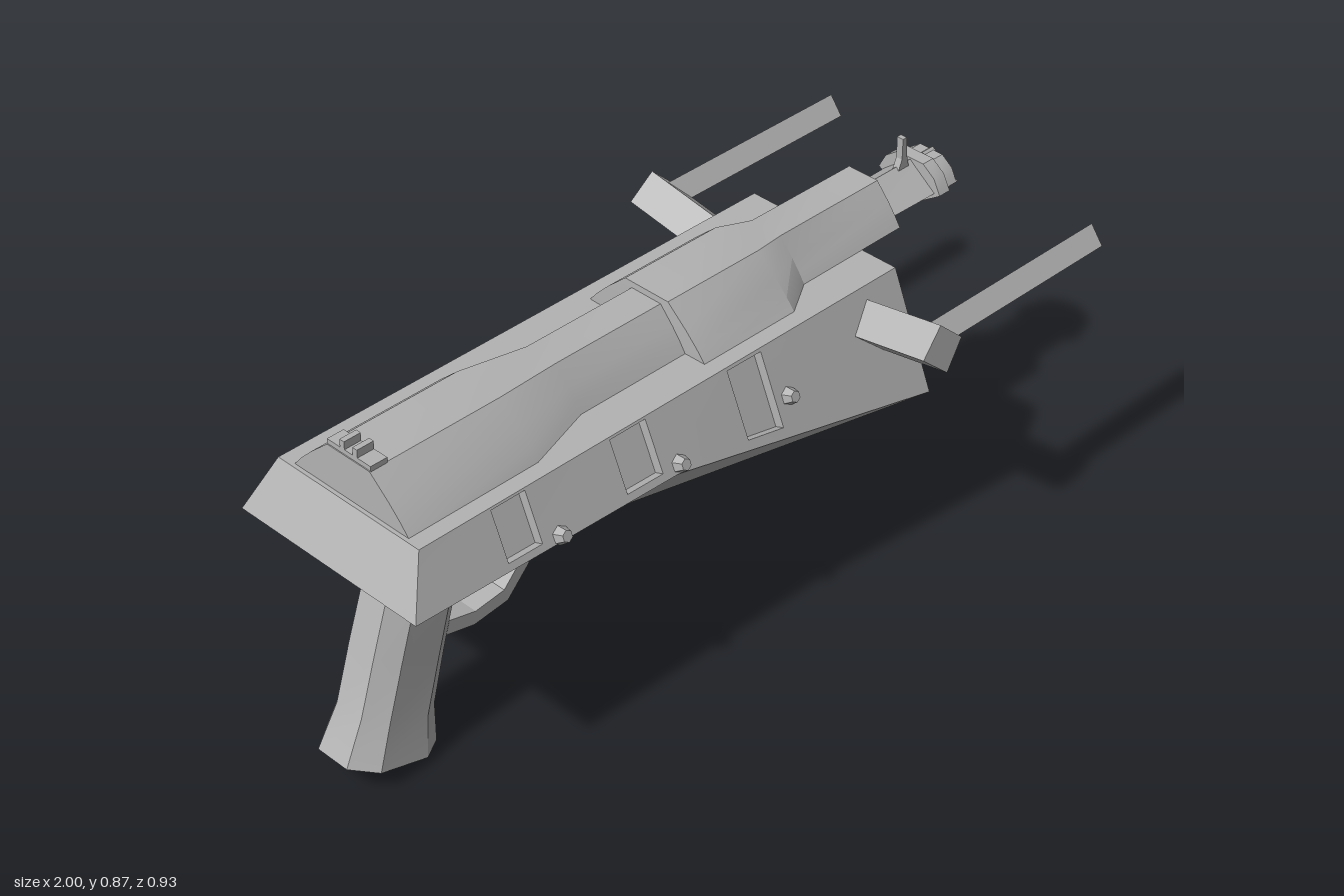
import * as THREE from 'three';
import { toCreasedNormals } from 'three/addons/utils/BufferGeometryUtils.js';

const steel = new THREE.MeshStandardMaterial({ color: 0xb3b3b3, side: THREE.DoubleSide });
steel.name = 'steel grey';

// Mesh from convex polygons (fans of [x, y, z] corners), sharp above the crease angle
function polyMesh(name, polys, crease = 0.45) {
  const pos = [];
  for (const p of polys)
    for (let i = 1; i < p.length - 1; i++) pos.push(...p[0], ...p[i], ...p[i + 1]);
  // turn the whole surface outwards if its signed volume is negative
  let volume = 0;
  const a = new THREE.Vector3(), b = new THREE.Vector3(), c = new THREE.Vector3();
  for (let i = 0; i < pos.length; i += 9) {
    a.fromArray(pos, i); b.fromArray(pos, i + 3); c.fromArray(pos, i + 6);
    volume += a.dot(b.cross(c));
  }
  if (volume < 0)
    for (let i = 0; i < pos.length; i += 9)
      for (let k = 0; k < 3; k++) [pos[i + 3 + k], pos[i + 6 + k]] = [pos[i + 6 + k], pos[i + 3 + k]];
  const g = new THREE.BufferGeometry();
  g.setAttribute('position', new THREE.Float32BufferAttribute(pos, 3));
  const mesh = new THREE.Mesh(toCreasedNormals(g, crease), steel);
  mesh.name = name;
  return mesh;
}

// Closed skin through equal-length rings
function loft(name, rings, crease) {
  const polys = [[...rings[0]].reverse(), rings[rings.length - 1]];
  for (let i = 0; i < rings.length - 1; i++) {
    const r = rings[i], s = rings[i + 1], n = r.length;
    for (let j = 0; j < n; j++) polys.push([r[j], r[(j + 1) % n], s[(j + 1) % n], s[j]]);
  }
  return polyMesh(name, polys, crease);
}

function box(name, sx, sy, sz, x, y, z) {
  const m = new THREE.Mesh(new THREE.BoxGeometry(sx, sy, sz), steel);
  m.name = name;
  m.position.set(x, y, z);
  return m;
}

// Outline in the xy plane, extruded symmetrically across z
function plate(name, pts, width) {
  const shape = new THREE.Shape(pts.map(p => new THREE.Vector2(...p)));
  const g = new THREE.ExtrudeGeometry(shape, { depth: width, bevelEnabled: false });
  g.translate(0, 0, -width / 2);
  const m = new THREE.Mesh(g, steel);
  m.name = name;
  return m;
}

// Lower edge of the side wall
function lowerEdge(x) {
  const t = Math.max(0, (x + 0.23) / 0.76);
  return x < -0.23 ? [0.6 - 0.01 * (x + 0.975) / 0.745, 0.275 + 0.01 * (x + 0.975) / 0.745]
    : [0.59 - 0.145 * t, 0.285 + 0.055 * t];
}

// Wedge-shaped body with sunken side windows
function makeBody() {
  const cols = [-0.975, -0.715, -0.62, -0.375, -0.27, -0.23, -0.02, 0.085, 0.53];
  const rows = [0, 0.04, 0.88, 1], windows = [1, 3, 6], polys = [];
  const wall = (i, v, s, sink = 0) => {
    const [y, z] = lowerEdge(cols[i]);
    const xTop = i ? cols[i] : -0.91;
    return [xTop + (cols[i] - xTop) * v, 0.73 + (y - 0.73) * v - sink * 0.37, s * (0.22 + (z - 0.22) * v - sink * 0.93)];
  };
  const last = cols.length - 1;
  const keel = s => [-0.65, 0.445, s * 0.05];
  for (const s of [1, -1]) {
    const add = (...p) => polys.push(s > 0 ? p : p.reverse());
    for (let i = 0; i < last; i++) {
      for (let j = 0; j < 3; j++) {
        const at = d => [wall(i, rows[j], s, d), wall(i, rows[j + 1], s, d), wall(i + 1, rows[j + 1], s, d), wall(i + 1, rows[j], s, d)];
        const rim = at(0);
        if (j === 1 && windows.includes(i)) {
          const floor = at(0.025);
          add(...floor);
          for (let k = 0; k < 4; k++) add(rim[k], rim[(k + 1) % 4], floor[(k + 1) % 4], floor[k]);
        } else add(...rim);
      }
      add(wall(i, 1, s), keel(s), wall(i + 1, 1, s));
    }
  }
  const T0 = s => wall(0, 0, s), T1 = s => wall(last, 0, s), B0 = s => wall(0, 1, s), B1 = s => wall(last, 1, s);
  polys.push([T0(1), T1(1), T1(-1), T0(-1)], [T0(1), T0(-1), B0(-1), B0(1)],
    [B0(1), B0(-1), keel(-1), keel(1)], [keel(1), keel(-1), B1(-1), B1(1)], [T1(1), B1(1), B1(-1), T1(-1)]);
  return polyMesh('body', polys, 0.2);
}

// Cross-section of the slide: sloped shoulders above, a V below
function slideRing(x, w, top) {
  const f = top * 0.37, h = 0.73;
  const half = [[w, h], [w * 0.87, h + f * 0.62 * 0.17], [w * 0.68, h + (top - h) * 0.56], [w * 0.37, top]];
  half[1][1] = h + (top - h) * 0.25;
  return [...half.map(([z, y]) => [x, y, z]), ...half.reverse().map(([z, y]) => [x, y, -z]), [x, 0.655, 0]];
}

export function createModel() {
  const model = new THREE.Group();
  model.add(makeBody());

  // Slide with thick rear, slim middle, collar and barrel shroud
  const slide = [[-0.9, 0.178, 0.84], [-0.54, 0.178, 0.84], [-0.36, 0.12, 0.825], [-0.045, 0.12, 0.825],
    [-0.044, 0.178, 0.84], [0.24, 0.178, 0.84], [0.335, 0.12, 0.825], [0.66, 0.118, 0.825]];
  model.add(loft('slide', slide.map(s => slideRing(...s)), 0.4));

  // Muzzle: diamond barrel with a hollow tip and an arched collar
  const diamond = (x, w, h) => [[x, 0.73, w], [x, 0.73 + h, 0], [x, 0.73, -w], [x, 0.73 - h, 0]];
  model.add(loft('barrel', [diamond(0.6, 0.075, 0.06), diamond(0.905, 0.08, 0.06),
    diamond(0.905, 0.065, 0.046), diamond(0.8, 0.02, 0.015)]));
  const arch = (x, k) => [[0.095, 0], [0.075, 0.038], [0.04, 0.064], [-0.04, 0.064], [-0.075, 0.038], [-0.095, 0], [0, -0.065]]
    .map(([z, y]) => [x, 0.73 + y * k, z * k]);
  model.add(loft('muzzleCollar', [arch(0.825, 1), arch(0.86, 1), arch(0.861, 0.86), arch(0.9, 0.86)]));

  // Sights
  model.add(plate('frontSight', [[0.765, 0.76], [0.815, 0.76], [0.803, 0.81], [0.798, 0.865], [0.785, 0.865], [0.785, 0.81]], 0.018));
  model.add(box('rearSightBase', 0.045, 0.014, 0.135, -0.875, 0.845, 0));
  for (const s of [1, -1]) model.add(box('rearSightLug', 0.045, 0.03, 0.014, -0.875, 0.857, s * 0.02));

  // Eight-sided grip, flared at the foot: back x/y, front x/y, half width
  const grip = [[-1, 0.08, -0.745, 0.005, 0.094], [-0.945, 0.185, -0.74, 0.105, 0.08],
    [-0.9, 0.33, -0.705, 0.24, 0.08], [-0.82, 0.57, -0.64, 0.46, 0.077]];
  const octagon = [[0, 0.5], [0.22, 1], [0.74, 1], [1, 0.5], [1, -0.5], [0.74, -1], [0.22, -1], [0, -0.5]];
  model.add(loft('grip', grip.map(([bx, by, fx, fy, w]) =>
    octagon.map(([t, z]) => [bx + (fx - bx) * t, by + (fy - by) * t, z * w])), 0.3));

  // Trigger guard and trigger
  model.add(plate('triggerGuard', [[-0.71, 0.27], [-0.61, 0.247], [-0.51, 0.258], [-0.445, 0.325], [-0.425, 0.46],
    [-0.455, 0.46], [-0.47, 0.345], [-0.52, 0.292], [-0.605, 0.282], [-0.7, 0.305]], 0.07));
  model.add(plate('trigger', [[-0.605, 0.345], [-0.57, 0.375], [-0.553, 0.46], [-0.583, 0.46], [-0.592, 0.39], [-0.622, 0.358]], 0.035));

  for (const s of [1, -1]) {
    // Hexagonal studs along the wall
    for (const x of [-0.57, -0.22, 0.125]) {
      const [y, z] = lowerEdge(x);
      const stud = new THREE.Mesh(toCreasedNormals(new THREE.CylinderGeometry(0.014, 0.026, 0.035, 6), 0.3), steel);
      stud.name = 'stud';
      stud.rotation.x = s * 1.2;
      stud.position.set(x, 0.61, s * (0.22 + (z - 0.22) * (0.12 / (0.73 - y)) + 0.006));
      model.add(stud);
    }
    // Tilted diamond bracket carrying a three-sided side rod
    const end = (y, z) => [[-0.065, 0], [-0.002, 0.062], [0.063, 0.002], [0.008, -0.065]].map(([dx, dy]) =>
      [0.424 + dx, y + dy * 0.98, s * (z - dy * 0.14)]);
    model.add(loft('rodBracket', [end(0.64, 0.24), end(0.676, 0.458)]));
    const tri = x => [[x, 0.672, s * 0.443], [x, 0.718, s * 0.408], [x, 0.672, s * 0.373]];
    model.add(loft('sideRod', [tri(0.43), tri(1)]));
  }
  return model;
}
